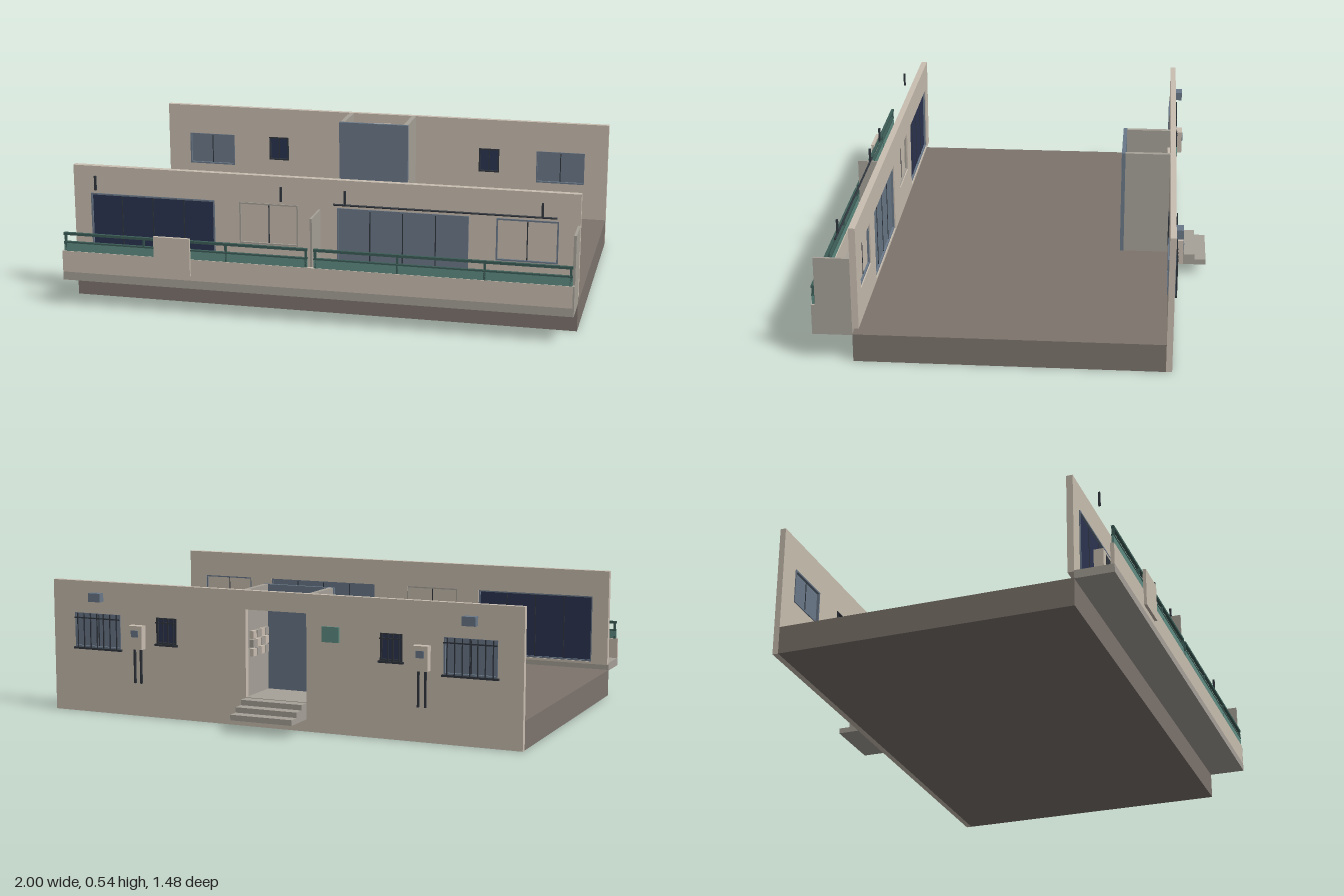
import * as THREE from 'three';

const mat = (name, color) => Object.assign(new THREE.MeshStandardMaterial({ color }), { name });

export function createModel() {
  const beige = mat('beige render', 0xc9beb0);
  const grey = mat('grey concrete', 0xa6a198);
  const brown = mat('brown floor', 0x7d746d);
  const blue = mat('blue glass', 0x6a7888);
  const navy = mat('navy glass', 0x2b3450);
  const teal = mat('teal panel', 0x5f8c82);
  const green = mat('dark green rail', 0x3c5c56);
  const dark = mat('dark metal', 0x30363e);

  const model = new THREE.Group();
  model.name = 'apartmentFloor';

  // Box given by its extents on each axis
  const box = (name, m, x0, x1, y0, y1, z0, z1, parent = model) => {
    const mesh = new THREE.Mesh(new THREE.BoxGeometry(x1 - x0, y1 - y0, z1 - z0), m);
    mesh.position.set((x0 + x1) / 2, (y0 + y1) / 2, (z0 + z1) / 2);
    mesh.name = name;
    parent.add(mesh);
    return mesh;
  };

  // Upright wall with rectangular openings [x0, x1, y0, y1]
  const wall = (name, m, x0, x1, y0, y1, z0, z1, openings) => {
    const rect = (Type, a, b, c, d) => new Type([[a, c], [b, c], [b, d], [a, d]].map(p => new THREE.Vector2(...p)));
    const shape = rect(THREE.Shape, x0, x1, y0, y1);
    openings.forEach(o => shape.holes.push(rect(THREE.Path, ...o)));
    const mesh = new THREE.Mesh(new THREE.ExtrudeGeometry(shape, { depth: z1 - z0, bevelEnabled: false }), m);
    mesh.position.z = z0;
    mesh.name = name;
    model.add(mesh);
  };

  // Framed pane with evenly spaced mullions
  const windowUnit = (name, [x0, x1, y0, y1], z0, z1, glass, frame, panes) => {
    const g = new THREE.Group();
    g.name = name;
    model.add(g);
    const t = 0.006, zc = (z0 + z1) / 2;
    box('pane', glass, x0, x1, y0, y1, zc - 0.004, zc + 0.004, g);
    box('frameBottom', frame, x0, x1, y0, y0 + t, z0, z1, g);
    box('frameTop', frame, x0, x1, y1 - t, y1, z0, z1, g);
    box('frameLeft', frame, x1 - t, x1, y0 + t, y1 - t, z0, z1, g);
    box('frameRight', frame, x0, x0 + t, y0 + t, y1 - t, z0, z1, g);
    for (let i = 1; i < panes; i++) {
      const x = x0 + (x1 - x0) * i / panes;
      box('mullion', dark, x - 0.002, x + 0.002, y0 + t, y1 - t, zc - 0.006, zc + 0.006, g);
    }
  };

  // Floor slab
  box('floorSlab', brown, -1, 1, 0, 0.11, -0.58, 0.58);

  // Front wall with sliding doors and windows
  const doorA = [-0.93, -0.42, 0.145, 0.425], doorB = [0.07, 0.58, 0.145, 0.425];
  const winA = [-0.32, -0.085, 0.26, 0.425], winB = [0.685, 0.92, 0.26, 0.425];
  wall('frontWall', beige, -1, 1, 0.135, 0.535, 0.555, 0.58, [doorA, doorB, winA, winB]);
  windowUnit('slidingDoorRight', doorA, 0.56, 0.584, navy, blue, 4);
  windowUnit('slidingDoorLeft', doorB, 0.56, 0.584, blue, blue, 4);
  windowUnit('curtainWindowRight', winA, 0.56, 0.584, beige, grey, 2);
  windowUnit('curtainWindowLeft', winB, 0.56, 0.584, beige, blue, 2);

  // Balcony floor, parapet, dividers
  box('balconyFloor', grey, -1, 1, 0.107, 0.14, 0.58, 0.73);
  box('parapet', beige, -1, 0.994, 0.14, 0.225, 0.715, 0.73);
  box('parapetEnd', grey, 0.994, 1, 0.14, 0.225, 0.715, 0.73);
  box('endPartition', grey, 0.99, 1, 0.14, 0.415, 0.58, 0.715);
  box('middlePartition', grey, -0.004, 0.004, 0.14, 0.415, 0.58, 0.715);

  // Balcony railing, one half per apartment
  for (const s of [-1, 1]) {
    const a = Math.min(s * 0.012, s * 0.992), b = Math.max(s * 0.012, s * 0.992);
    box('railingPanel', teal, a, b, 0.225, 0.26, 0.719, 0.727);
    box('panelTrim', green, a, b, 0.258, 0.264, 0.717, 0.729);
    box('handrail', green, a, b, 0.29, 0.3, 0.717, 0.729);
    for (const x of [0.018, 0.335, 0.665, 0.985])
      box('railingPost', green, s * x - 0.004, s * x + 0.004, 0.225, 0.292, 0.719, 0.727);
    // Outdoor cooling unit and escape hatch
    box('coolingUnit', beige, s * 0.915 - 0.058, s * 0.915 + 0.058, 0.145, 0.225, 0.645, 0.682);
    box('coolingUnitFan', dark, s * 0.915 - 0.03, s * 0.915 + 0.03, 0.16, 0.212, 0.682, 0.684);
    box('hatchRim', dark, s * 0.72 - 0.067, s * 0.72 + 0.067, 0.14, 0.1415, 0.604, 0.677);
    box('hatch', grey, s * 0.72 - 0.064, s * 0.72 + 0.064, 0.14, 0.143, 0.607, 0.674);
  }
  box('hangingBox', beige, -0.62, -0.475, 0.16, 0.31, 0.728, 0.741);

  // Laundry hooks and pole
  for (const x of [-0.885, -0.135, 0.115, 0.865])
    box('laundryHook', dark, x - 0.004, x + 0.004, 0.455, 0.512, 0.641, 0.649);
  const pole = new THREE.Mesh(new THREE.CylinderGeometry(0.004, 0.004, 0.85, 8), dark);
  pole.rotation.z = Math.PI / 2;
  pole.position.set(0.495, 0.456, 0.645);
  pole.name = 'laundryPole';
  model.add(pole);

  // Potted plants
  for (const x of [-0.34, -0.19]) {
    const pot = new THREE.Mesh(new THREE.CylinderGeometry(0.02, 0.015, 0.035, 8), brown);
    pot.position.set(x, 0.1575, 0.675);
    pot.name = 'plantPot';
    const leaves = new THREE.Mesh(new THREE.IcosahedronGeometry(0.028, 0), green);
    leaves.position.set(x, 0.197, 0.675);
    leaves.name = 'plantLeaves';
    model.add(pot, leaves);
  }

  // Back wall with entrance and mirrored windows
  const big = s => [s * 0.795 - 0.105, s * 0.795 + 0.105, 0.265, 0.405];
  const small = s => [s * 0.48 - 0.045, s * 0.48 + 0.045, 0.3, 0.405];
  wall('backWall', beige, -1, 1, 0, 0.535, -0.603, -0.58,
    [[-0.13, 0.13, 0.11, 0.46], big(-1), big(1), small(-1), small(1)]);
  for (const s of [-1, 1]) {
    windowUnit('bedroomWindow', big(s), -0.606, -0.576, blue, blue, 2);
    windowUnit('bathroomWindow', small(s), -0.606, -0.576, navy, dark, 2);
    // Window bars
    for (const [[x0, x1, y0, y1], n] of [[big(s), 7], [small(s), 4]]) {
      box('windowSill', dark, x0 - 0.006, x1 + 0.006, y0 - 0.008, y0, -0.613, -0.603);
      box('barRail', dark, x0, x1, y1 - 0.022, y1 - 0.017, -0.613, -0.609);
      for (let i = 0; i < n; i++) {
        const x = x0 + (x1 - x0) * (i + 0.5) / n;
        box('windowBar', dark, x - 0.002, x + 0.002, y0, y1, -0.613, -0.609);
      }
    }
    // Vent hood
    box('ventHood', blue, s * 0.795 - 0.027, s * 0.795 + 0.027, 0.455, 0.49, -0.632, -0.603);
    // Meter cabinet with pipes
    const x = s * 0.607;
    box('meterCabinet', beige, x - 0.031, x + 0.031, 0.275, 0.37, -0.635, -0.603);
    box('meterDisplay', blue, x - 0.016, x + 0.016, 0.325, 0.352, -0.638, -0.635);
    for (const d of [-0.014, 0.014])
      box('meterPipe', dark, x + d - 0.004, x + d + 0.004, 0.135, 0.275, -0.616, -0.608);
  }
  box('wallPlaque', teal, -0.268, -0.197, 0.355, 0.415, -0.61, -0.603);

  // Entrance vestibule
  for (const s of [-1, 1])
    box('vestibuleSide', grey, s * 0.141 - 0.01, s * 0.141 + 0.01, 0.11, 0.535, -0.58, -0.4);
  box('vestibuleBack', blue, -0.153, 0.153, 0.11, 0.535, -0.4, -0.385);
  box('vestibuleFloor', grey, -0.131, 0.131, 0.108, 0.114, -0.603, -0.4);
  box('entranceLamp', beige, -0.038, 0.038, 0.475, 0.495, -0.58, -0.568);

  // Letterboxes on the vestibule side
  for (let r = 0; r < 3; r++) for (let c = 0; c < 4; c++)
    box('letterbox', r + c & 1 ? grey : beige, 0.115, 0.131,
      0.27 + r * 0.035, 0.3 + r * 0.035, -0.565 + c * 0.036, -0.535 + c * 0.036);

  // Entrance steps
  for (let i = 0; i < 3; i++)
    box('entranceStep', grey, -0.13, 0.13, 0.048, 0.112 - i * 0.021, -0.648 - i * 0.045, -0.603 - i * 0.045);

  return model;
}
